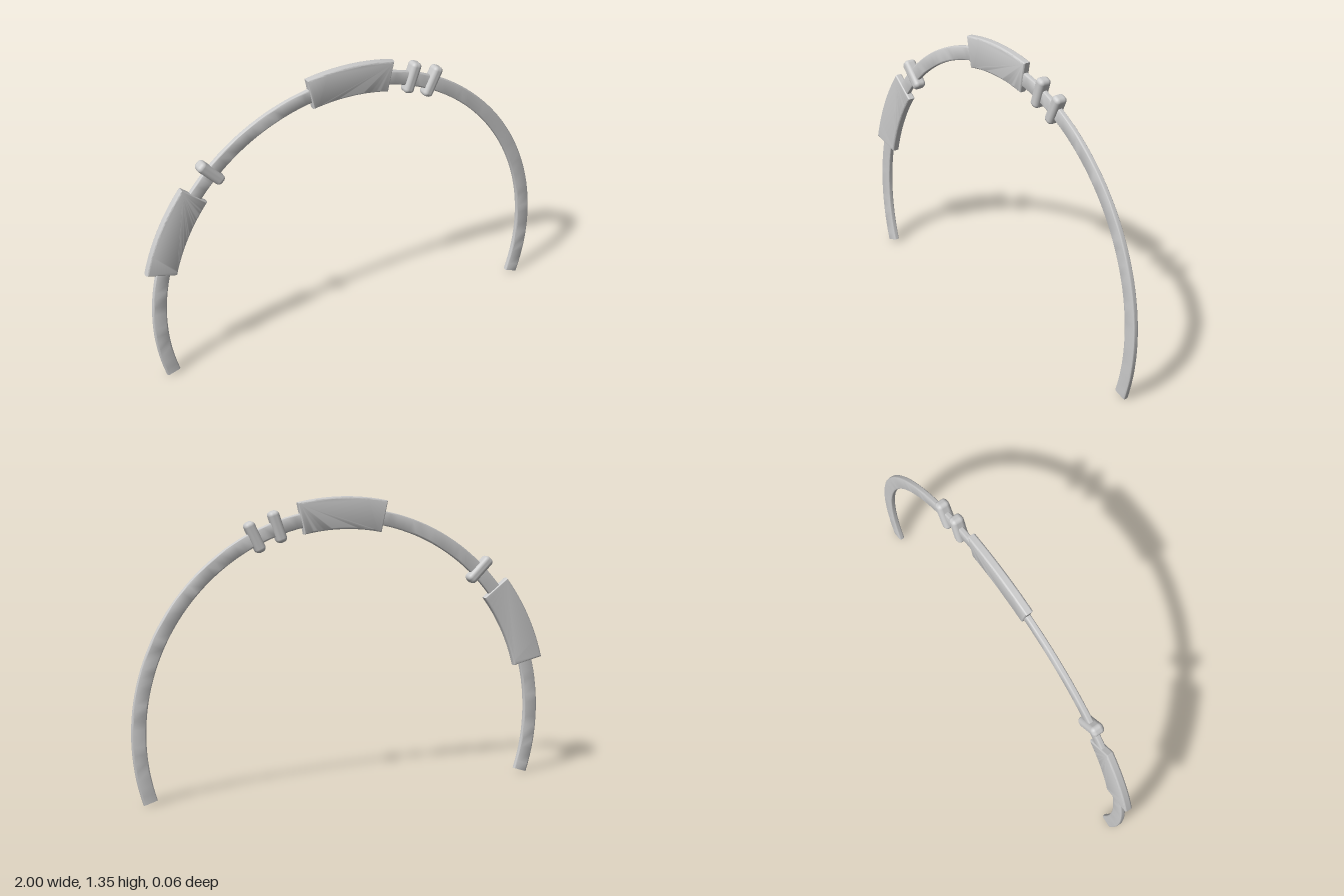
import * as THREE from 'three';
import { toCreasedNormals } from 'three/addons/utils/BufferGeometryUtils.js';
import { RoundedBoxGeometry } from 'three/addons/geometries/RoundedBoxGeometry.js';

const CX = 0.0075, CY = 0.31; // centre of the arch
const rad = THREE.MathUtils.degToRad;
const material = new THREE.MeshStandardMaterial({ color: 0xcccccc });
const capMaterial = new THREE.MeshStandardMaterial({ color: 0xcccccc, side: THREE.DoubleSide });

function add(parent, name, geometry, mat = material) {
  const mesh = new THREE.Mesh(geometry, mat);
  mesh.name = name;
  parent.add(mesh);
  return mesh;
}

// Rounded strip section: x is the radius, y is the depth
function bandSection(r0, r1, half, c) {
  const s = new THREE.Shape();
  s.moveTo(r0 + c, -half);
  s.lineTo(r1 - c, -half);
  s.absarc(r1 - c, -half + c, c, -Math.PI / 2, 0);
  s.absarc(r1 - c, half - c, c, 0, Math.PI / 2);
  s.absarc(r0 + c, half - c, c, Math.PI / 2, Math.PI);
  s.absarc(r0 + c, -half + c, c, Math.PI, Math.PI * 1.5);
  s.closePath();
  return s;
}

// Curved plate between two angles, with softened edges
function plate(a0, a1) {
  const shape = new THREE.Shape();
  shape.absarc(0, 0, 1.04, rad(a0), rad(a1), false);
  shape.absarc(0, 0, 0.893, rad(a1), rad(a0), true);
  shape.closePath();
  const half = 0.019, bevel = 0.009;
  const g = new THREE.ExtrudeGeometry(shape, {
    depth: 2 * (half - bevel), curveSegments: 20,
    bevelThickness: bevel, bevelSize: bevel, bevelOffset: -bevel, bevelSegments: 4,
  });
  g.translate(0, 0, bevel - half);
  return toCreasedNormals(g, 0.65);
}

export function createModel() {
  const model = new THREE.Group();
  model.name = 'headband';
  const arch = new THREE.Group();
  arch.name = 'arch';
  arch.position.set(CX, CY, 0);
  model.add(arch);

  // Thin band, open at the bottom
  const section = bandSection(0.924, 0.99, 0.0125, 0.008);
  const start = rad(71.8), sweep = 2 * (Math.PI - start);
  const band = new THREE.LatheGeometry(section.getPoints(5), 96, start, sweep);
  band.rotateX(Math.PI / 2);
  add(arch, 'band', toCreasedNormals(band, 0.6));

  // Flat ends of the band
  for (const phi of [start, start + sweep]) {
    const cap = new THREE.ShapeGeometry(section, 5);
    const r = new THREE.Vector3(Math.sin(phi), -Math.cos(phi), 0);
    const z = new THREE.Vector3(0, 0, 1);
    cap.applyMatrix4(new THREE.Matrix4().makeBasis(r, z, r.clone().cross(z)));
    add(arch, 'bandEnd', cap, capMaterial);
  }

  // Curved plates at the crown and on the side
  add(arch, 'crownPlate', plate(78, 102));
  add(arch, 'sidePlate', plate(142.2, 166));

  // Small clips standing across the band
  for (const angle of [64.4, 71.2, 135]) {
    const clip = add(arch, 'clip', new RoundedBoxGeometry(0.148, 0.05, 0.06, 4, 0.019));
    const a = rad(angle);
    clip.position.set(0.964 * Math.cos(a), 0.964 * Math.sin(a), 0);
    clip.rotation.z = a;
  }
  return model;
}
